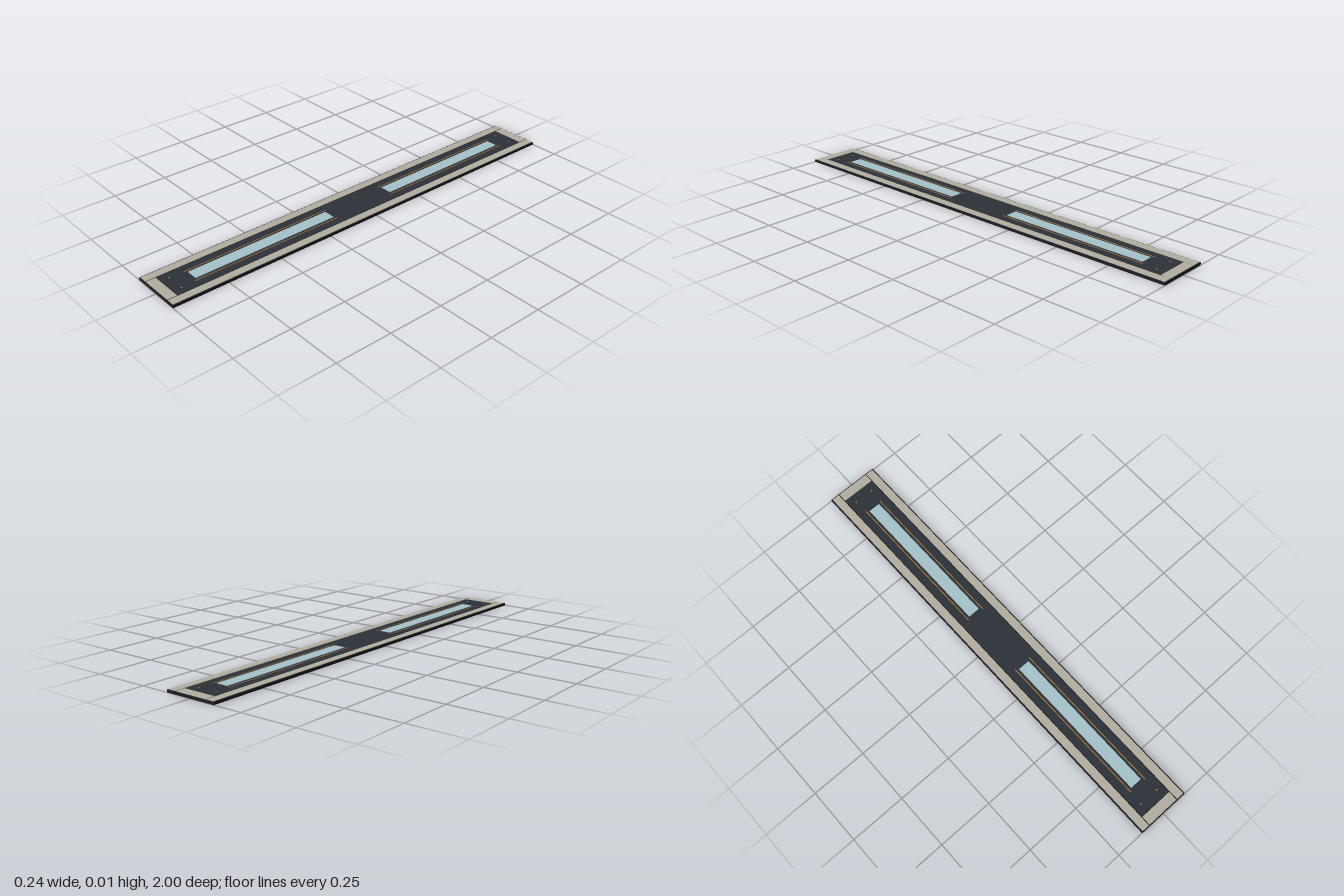
import * as THREE from 'three';

const paint = (color) => new THREE.MeshStandardMaterial({ color });

export function createModel() {
  const group = new THREE.Group();
  const black = paint(0x1b1d20);
  const slate = paint(0x2b3237);
  const stone = paint(0xb3b0a2);
  const glass = paint(0xa6c3cb);
  const copper = paint(0xa8743c);

  // Box given by its centre in x and z, and its bottom and top heights
  function slab(name, material, x, z, width, length, bottom, top) {
    const mesh = new THREE.Mesh(new THREE.BoxGeometry(width, top - bottom, length), material);
    mesh.name = name;
    mesh.position.set(x, (bottom + top) / 2, z);
    group.add(mesh);
  }

  // Backing tray and the raised dark panel
  slab('basePlate', black, 0, 0, 0.24, 2, 0, 0.011);
  slab('centrePanel', slate, 0, 0, 0.152, 1.904, 0.01, 0.0122);

  for (const side of [-1, 1]) {
    // Long frame rails and short end rails, separated by narrow dark seams
    slab('sideRail', stone, side * 0.0975, 0, 0.035, 1.992, 0.01, 0.013);
    slab('endRail', stone, 0, side * 0.975, 0.152, 0.042, 0.01, 0.013);

    // Light window with a trim line along each long edge
    slab('lightWindow', glass, 0, side * 0.5, 0.054, 0.68, 0.011, 0.0145);
    for (const edge of [-1, 1]) {
      slab('trimLine', copper, edge * 0.04, side * 0.5, 0.004, 0.7, 0.011, 0.0132);

      // Fixing screw near each end corner
      const screw = new THREE.Mesh(new THREE.CylinderGeometry(0.004, 0.004, 0.002, 12), copper);
      screw.name = 'screw';
      screw.position.set(edge * 0.044, 0.0122, side * 0.914);
      group.add(screw);
    }
  }
  return group;
}
